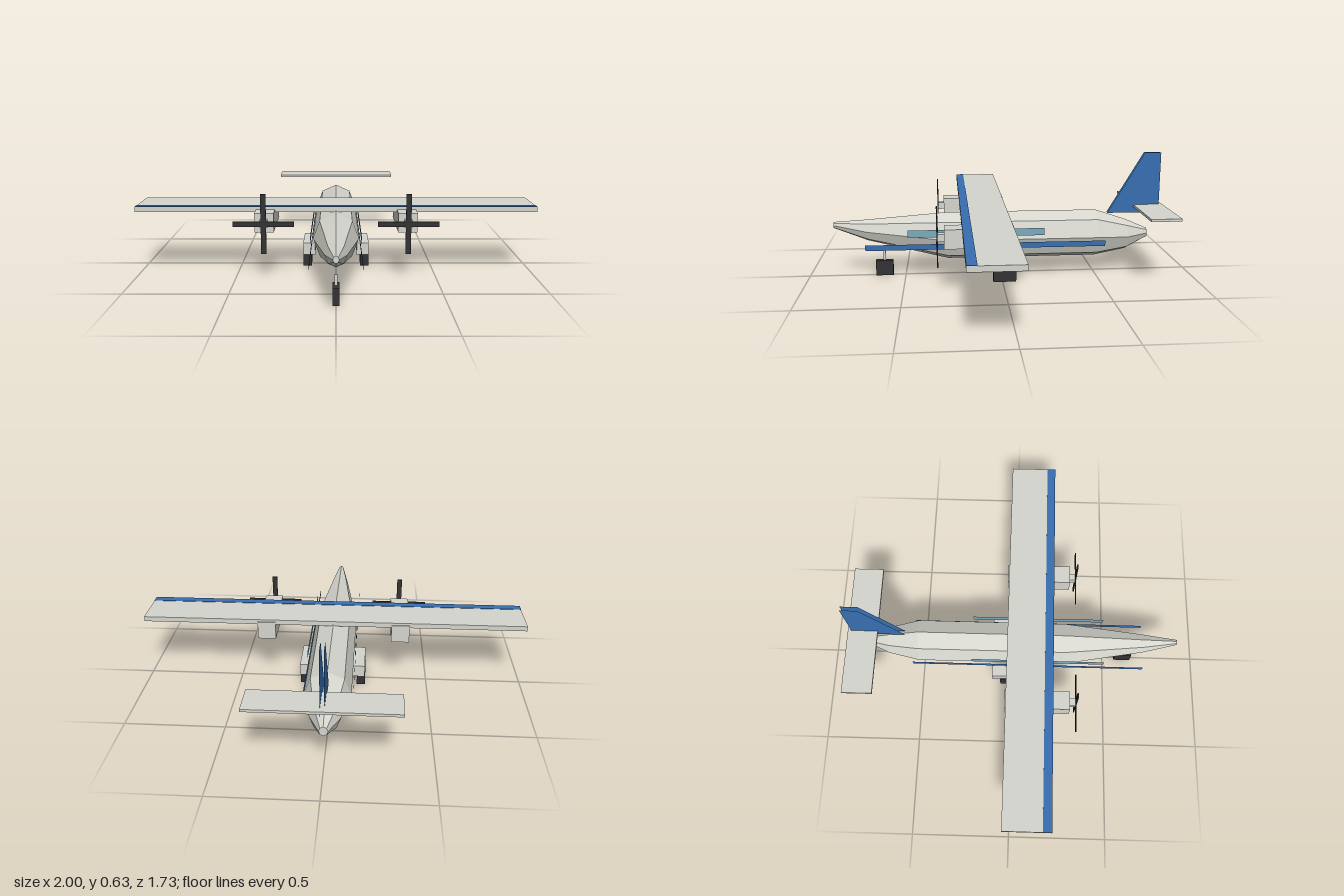
import * as THREE from 'three';

export function createModel() {
  const model = new THREE.Group();
  model.name = 'twinPropPlane';

  const material = (name, color) => {
    const m = new THREE.MeshStandardMaterial({ color, flatShading: true, side: THREE.DoubleSide });
    m.name = name;
    return m;
  };
  const grey = material('hullGrey', 0xd6d6cf);
  const blue = material('trimBlue', 0x386fb2);
  const glass = material('windowBlue', 0x7aaabd);
  const dark = material('rubberBlack', 0x333335);

  const add = (name, geometry, mat, x = 0, y = 0, z = 0) => {
    const mesh = new THREE.Mesh(geometry, mat);
    mesh.name = name;
    mesh.position.set(x, y, z);
    model.add(mesh);
    return mesh;
  };
  // Box given by its lower and upper corners
  const box = (name, mat, [x0, y0, z0], [x1, y1, z1]) =>
    add(name, new THREE.BoxGeometry(x1 - x0, y1 - y0, z1 - z0), mat,
      (x0 + x1) / 2, (y0 + y1) / 2, (z0 + z1) / 2);

  // Fuselage: eight-sided sections from nose to tail [z, centre y, half width, half height]
  const stations = [
    [0.865, 0.275, 0.014, 0.016],
    [0.69, 0.245, 0.05, 0.056],
    [0.275, 0.208, 0.113, 0.125],
    [-0.505, 0.208, 0.113, 0.125],
    [-0.67, 0.197, 0.073, 0.081],
    [-0.787, 0.203, 0.021, 0.024],
  ];
  const sides = 8;
  const point = (s, k) => {
    const [z, cy, rx, ry] = stations[s];
    const a = (k / sides) * Math.PI * 2;
    return [rx * Math.sin(a), cy + ry * Math.cos(a), z];
  };
  const centre = (s) => [0, stations[s][1], stations[s][0]];
  const last = stations.length - 1;
  const verts = [];
  for (let k = 0; k < sides; k++) {
    for (let s = 0; s < last; s++) {
      const a = point(s, k), b = point(s + 1, k), c = point(s, k + 1), d = point(s + 1, k + 1);
      verts.push(...a, ...c, ...b, ...c, ...d, ...b);
    }
    verts.push(...centre(0), ...point(0, k + 1), ...point(0, k));
    verts.push(...centre(last), ...point(last, k), ...point(last, k + 1));
  }
  const hull = new THREE.BufferGeometry();
  hull.setAttribute('position', new THREE.Float32BufferAttribute(verts, 3));
  hull.computeVertexNormals();
  add('fuselage', hull, grey);

  // Wing with painted leading edge, and tailplane
  box('wing', grey, [-1, 0.326, -0.032], [1, 0.352, 0.21]);
  box('wingStripe', blue, [-1, 0.352, 0.166], [1, 0.354, 0.21]);
  box('tailplane', grey, [-0.345, 0.345, -0.865], [0.345, 0.358, -0.71]);

  // Fin outline, drawn with z reversed so that turning it lays it along the body
  const finShape = new THREE.Shape([[0.57, 0.315], [0.847, 0.315], [0.847, 0.635], [0.76, 0.635]]
    .map(([x, y]) => new THREE.Vector2(x, y)));

  for (const [side, label] of [[1, 'left'], [-1, 'right']]) {
    const name = (part) => label + part;
    // Thin upright sheet facing outwards
    const sheet = (part, mat, z0, z1, y0, y1) => {
      const m = add(name(part), new THREE.PlaneGeometry(z1 - z0, y1 - y0), mat,
        side * 0.12, (y0 + y1) / 2, (z0 + z1) / 2);
      m.rotation.y = side * Math.PI / 2;
    };
    sheet('WindowBand', glass, -0.22, 0.48, 0.23, 0.268);
    sheet('BodyStripe', blue, -0.54, 0.695, 0.165, 0.194);

    const fin = add(name('FinSkin'), new THREE.ShapeGeometry(finShape), blue, side * 0.01);
    fin.rotation.y = Math.PI / 2;

    // Engine, hub and crossed propeller blades
    const ex = side * 0.35, py = 0.293;
    box(name('Nacelle'), grey, [ex - 0.047, 0.245, -0.038], [ex + 0.047, 0.34, 0.295]);
    box(name('PropellerHub'), grey, [ex - 0.018, py - 0.018, 0.295], [ex + 0.018, py + 0.018, 0.325]);
    box(name('BladeUpright'), dark, [ex - 0.013, py - 0.148, 0.325], [ex + 0.013, py + 0.148, 0.331]);
    box(name('BladeLevel'), dark, [ex - 0.148, py - 0.013, 0.3255], [ex + 0.148, py + 0.013, 0.3305]);

    // Main gear
    const gx = side * 0.139, wx = side * 0.15;
    box(name('GearFairing'), grey, [gx - 0.031, 0.074, -0.113], [gx + 0.031, 0.136, 0.09]);
    box(name('MainWheel'), dark, [wx - 0.022, 0, -0.07], [wx + 0.022, 0.088, 0.047]);
  }

  // Nose gear
  box('noseWheel', dark, [-0.015, 0, 0.565], [0.015, 0.08, 0.655]);
  box('noseStrut', grey, [-0.006, 0.08, 0.603], [0.006, 0.132, 0.615]);

  return model;
}
